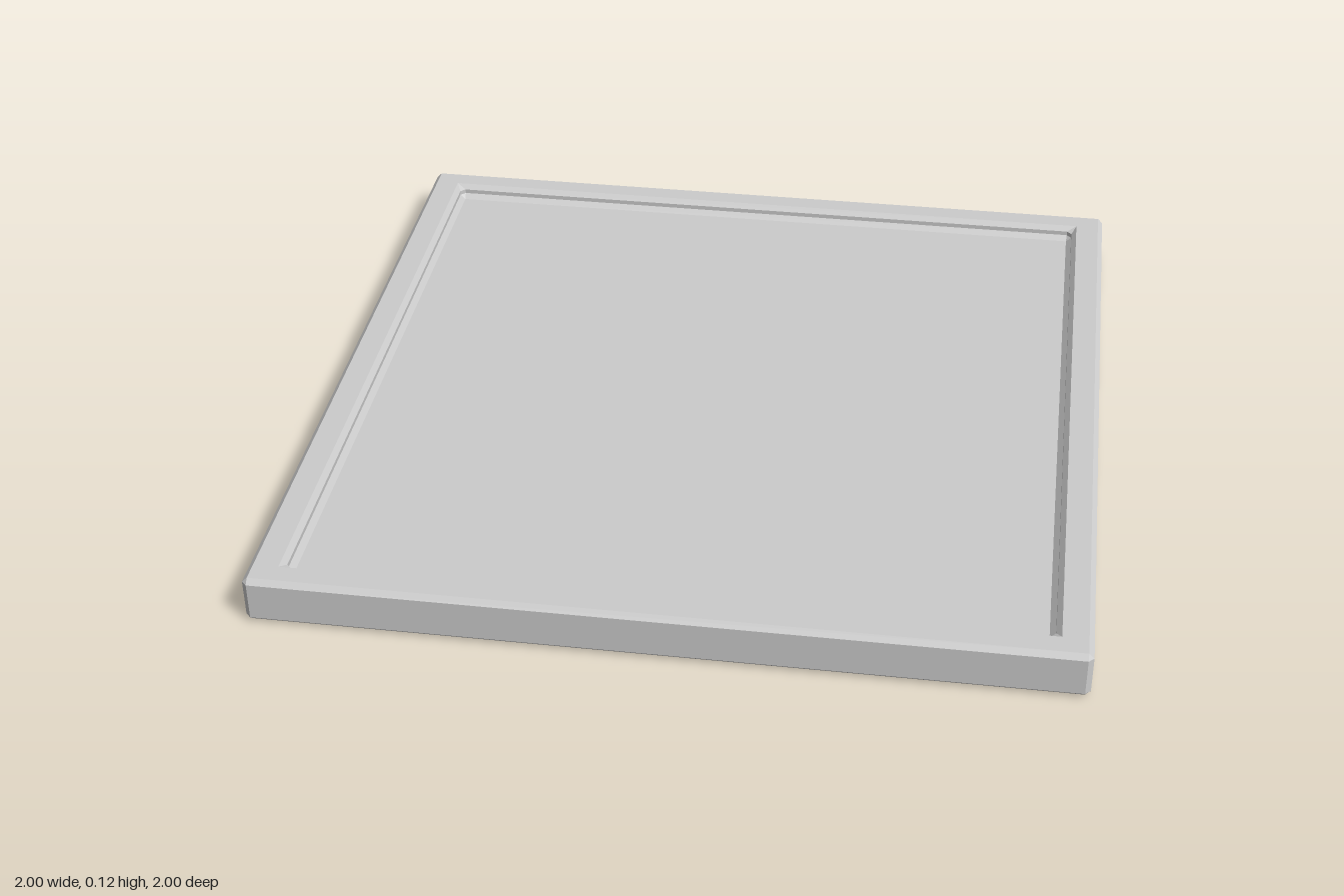
import * as THREE from 'three';

const material = new THREE.MeshStandardMaterial({ color: 0xcccccc, flatShading: true });

// Rectangular loop with corners cut by c, counter-clockwise seen from above
function ring([hx, hz, y, c]) {
  return [
    [hx, hz - c], [hx, -hz + c], [hx - c, -hz], [-hx + c, -hz],
    [-hx, -hz + c], [-hx, hz - c], [-hx + c, hz], [hx - c, hz],
  ].map(([x, z]) => new THREE.Vector3(x, y, z));
}

// Skin a series of loops [halfX, halfZ, y, cornerCut] with flat faces
function loft(name, sections) {
  const rings = sections.map(ring);
  const positions = [];
  const addTriangle = (a, b, c) => {
    if (new THREE.Triangle(a, b, c).getArea() < 1e-8) return;
    for (const p of [a, b, c]) positions.push(p.x, p.y, p.z);
  };
  for (let i = 0; i < rings.length - 1; i++) {
    const low = rings[i], high = rings[i + 1];
    for (let j = 0; j < 8; j++) {
      const k = (j + 1) % 8;
      addTriangle(low[j], low[k], high[k]);
      addTriangle(low[j], high[k], high[j]);
    }
  }
  const geometry = new THREE.BufferGeometry();
  geometry.setAttribute('position', new THREE.Float32BufferAttribute(positions, 3));
  geometry.computeVertexNormals();
  const mesh = new THREE.Mesh(geometry, material);
  mesh.name = name;
  return mesh;
}

export function createModel() {
  const top = 0.123, floor = 0.085, bevel = 0.013;
  const edge = 1 - bevel;

  // Loops where neighbouring parts meet
  const bottomEdge = [edge, edge, 0, 0];
  const outerTop = [edge, edge, top, 0];
  const innerTop = [0.925, 0.936, top, 0];
  const floorEdge = [0.898, 0.909, floor, 0];

  const tray = new THREE.Group();
  tray.name = 'tray';
  tray.add(
    loft('base', [[0, 0, 0, 0], bottomEdge]),
    // Bevelled outer sides
    loft('outerWall', [bottomEdge, [1, 1, bevel, bevel], [1, 1, top - bevel, bevel], outerTop]),
    loft('rim', [outerTop, innerTop]),
    // Bevelled step down to the recessed floor
    loft('innerWall', [
      innerTop,
      [0.912, 0.923, top - bevel, bevel],
      [0.912, 0.923, floor + bevel, bevel],
      floorEdge,
    ]),
    loft('floorPanel', [floorEdge, [0, 0, floor, 0]]),
  );
  return tray;
}
